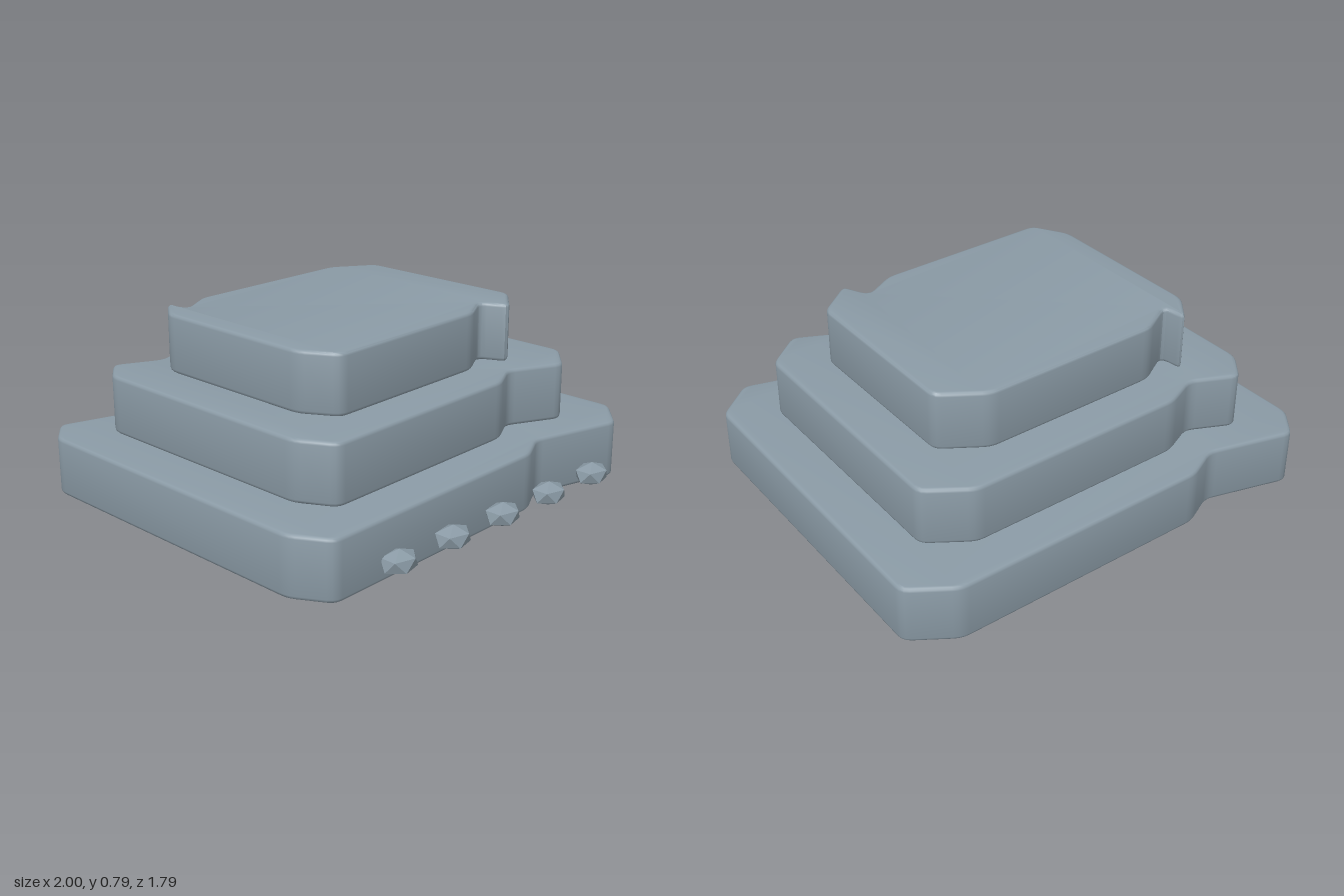
import * as THREE from 'three';
import { toCreasedNormals } from 'three/addons/utils/BufferGeometryUtils.js';

const BEVEL = 0.016;
const CORNER = 0.035;

// Closed outline in x/z with slightly softened corners
function softOutline(points) {
  const shape = new THREE.Shape();
  const v = points.map(([x, z]) => new THREE.Vector2(x, z));
  v.forEach((p, i) => {
    const prev = v[(i + v.length - 1) % v.length];
    const next = v[(i + 1) % v.length];
    const a = prev.clone().sub(p).setLength(CORNER).add(p);
    const b = next.clone().sub(p).setLength(CORNER).add(p);
    if (i === 0) shape.moveTo(a.x, a.y);
    else shape.lineTo(a.x, a.y);
    shape.quadraticCurveTo(p.x, p.y, b.x, b.y);
  });
  shape.closePath();
  return shape;
}

// Slab with rounded rims standing between two heights
function slab(points, bottom, top) {
  const geo = new THREE.ExtrudeGeometry(softOutline(points), {
    depth: top - bottom - 2 * BEVEL,
    bevelEnabled: true,
    bevelSize: BEVEL,
    bevelThickness: BEVEL,
    bevelOffset: -BEVEL,
    bevelSegments: 3,
    curveSegments: 3,
  });
  geo.rotateX(Math.PI / 2).translate(0, top - BEVEL, 0);
  return toCreasedNormals(geo, 0.65);
}

export function createModel() {
  const model = new THREE.Group();
  const stone = new THREE.MeshStandardMaterial({ color: 0x8a9aa5 });
  stone.name = 'blueGreyStone';
  const studStone = stone.clone();
  studStone.name = 'blueGreyStoneFaceted';
  studStone.flatShading = true;

  // Three notched tiers, each floating just above the one below
  const tiers = [
    ['lowerTier', 0, 0.255, [
      [-1, -0.765], [-0.895, -0.9], [-0.515, -0.8], [-0.365, -0.875], [0.81, -0.9], [1, -0.78],
      [1, 0.655], [0.83, 0.805], [0.41, 0.695], [0.26, 0.775], [-0.905, 0.81], [-1, 0.65]]],
    ['middleTier', 0.27, 0.525, [
      [-0.815, -0.605], [-0.715, -0.735], [-0.515, -0.645], [-0.365, -0.715], [0.625, -0.74], [0.812, -0.62],
      [0.812, 0.5], [0.65, 0.64], [0.41, 0.53], [0.265, 0.61], [-0.725, 0.648], [-0.815, 0.49]]],
    ['upperTier', 0.535, 0.79, [
      [-0.633, -0.44], [-0.533, -0.573], [-0.515, -0.46], [-0.365, -0.55], [0.44, -0.573], [0.63, -0.455],
      [0.63, 0.345], [0.468, 0.48], [0.41, 0.36], [0.265, 0.445], [-0.54, 0.48], [-0.633, 0.325]]],
  ];
  for (const [name, bottom, top, points] of tiers) {
    const mesh = new THREE.Mesh(slab(points, bottom, top), stone);
    mesh.name = name;
    model.add(mesh);
  }

  // Row of faceted studs along the front, each with a point at top and bottom
  const studs = new THREE.Group();
  studs.name = 'frontStuds';
  const studGeo = new THREE.IcosahedronGeometry(1, 0);
  studGeo.rotateZ(-Math.atan2(2, 1 + Math.sqrt(5))).scale(0.088, 0.052, 0.07);
  studGeo.computeVertexNormals();
  for (let i = 0; i < 5; i++) {
    const stud = new THREE.Mesh(studGeo, studStone);
    stud.name = 'stud';
    stud.position.set(-0.595 + i * 0.3065, 0.074, 0.83);
    studs.add(stud);
  }
  model.add(studs);

  return model;
}
